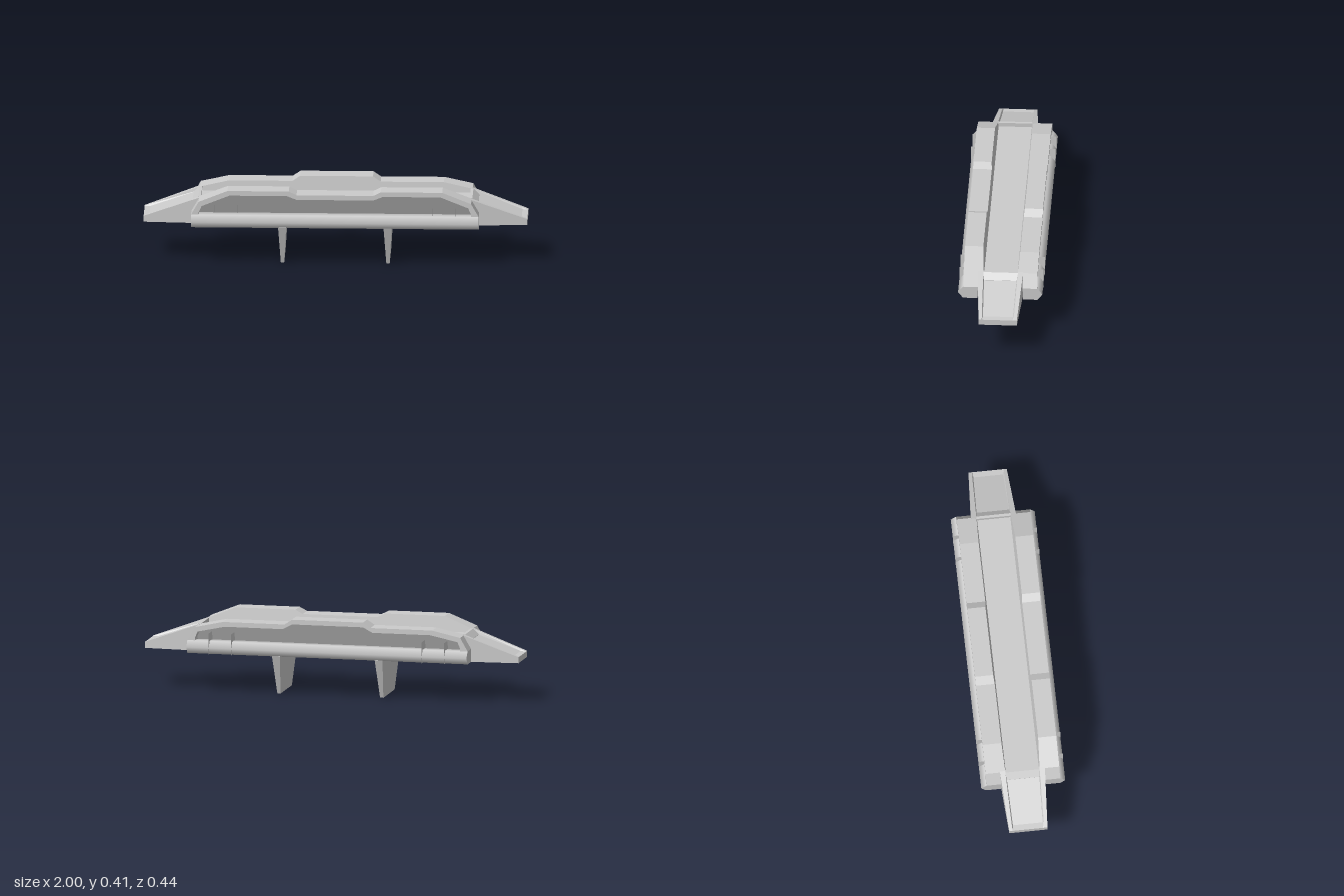
import * as THREE from 'three';

const material = new THREE.MeshStandardMaterial({ color: 0xcccccc, flatShading: true });
const smooth = new THREE.MeshStandardMaterial({ color: 0xcccccc });
const thin = new THREE.MeshStandardMaterial({ color: 0xcccccc, side: THREE.DoubleSide });

function add(parent, name, geometry, mat = material) {
  const mesh = new THREE.Mesh(geometry, mat);
  mesh.name = name;
  parent.add(mesh);
  return mesh;
}

// Closed outline from its right half, mirrored in x
function mirrored(half) {
  const all = [...half, ...half.map(([x, y]) => [-x, y]).reverse()];
  return all.map(([x, y]) => new THREE.Vector2(x, y));
}

// Skin equal-length closed sections along x, with end caps
function loft(sections) {
  const n = sections[0].length;
  const index = [];
  for (let s = 0; s < sections.length - 1; s++) {
    for (let i = 0; i < n; i++) {
      const a = s * n + i, b = s * n + (i + 1) % n;
      index.push(a, a + n, b, b, a + n, b + n);
    }
  }
  const flat = sections[0].map(([, y, z]) => new THREE.Vector2(-z, y));
  const last = (sections.length - 1) * n;
  for (const [a, b, c] of THREE.ShapeUtils.triangulateShape(flat, [])) {
    index.push(a, c, b, last + a, last + b, last + c);
  }
  const g = new THREE.BufferGeometry();
  g.setAttribute('position', new THREE.Float32BufferAttribute(sections.flat(2), 3));
  g.setIndex(index);
  const out = g.toNonIndexed();
  out.computeVertexNormals();
  return out;
}

// One long side: leaning wall, open frame, tube and clips
function side(outer, middle, step) {
  const group = new THREE.Group();
  const outline = mirrored([
    [0.75, 0.207], [0.75, 0.275], [0.71, 0.345], [0.56, outer], [step + 0.04, outer], [step, middle],
  ]);
  const t = 0.025;
  const opening = mirrored([
    [0.71, 0.25], [0.71, 0.288], [0.695, 0.322], [0.55, outer - t], [step + 0.05, outer - t], [step, middle - t],
  ]);

  // The wall leans outward on both faces, more on the outside
  const wall = new THREE.ExtrudeGeometry(new THREE.Shape(outline), { depth: 0.125, bevelEnabled: false });
  const p = wall.attributes.position;
  for (let i = 0; i < p.count; i++) {
    const y = p.getY(i);
    p.setZ(i, p.getZ(i) < 0.01 ? 0.075 + (y - 0.24) * 0.14 : 0.115 + (y - 0.25) * 0.48);
  }
  wall.computeVertexNormals();
  add(group, 'innerWall', wall);

  const shape = new THREE.Shape(outline);
  shape.holes.push(new THREE.Path(opening));
  const frame = new THREE.ExtrudeGeometry(shape, { depth: 0.075, bevelEnabled: false });
  add(group, 'railFrame', frame).position.z = 0.118;

  // Six-sided tube with a corner pointing outward
  const tube = new THREE.CylinderGeometry(0.05, 0.05, 1.5, 6).rotateZ(Math.PI / 2).scale(1, 0.78, 1);
  add(group, 'sideTube', tube, smooth).position.set(0, 0.241, 0.17);

  for (const x of [-0.63, -0.51, 0.51, 0.63]) {
    const clip = add(group, 'clip', new THREE.PlaneGeometry(0.1, 0.111).rotateY(Math.PI / 2), thin);
    clip.position.set(x, 0.2625, 0.17);
  }
  return group;
}

// Ramp section: x, outer half width, top, inner half width, floor half width, floor height
function rampSection([x, o, top, i, f, floor]) {
  const half = [[o, 0.207], [o, top], [i, top], [f, floor]];
  const all = [...half, ...half.map(([z, y]) => [-z, y]).reverse()];
  return all.map(([z, y]) => [x, y, z]);
}

export function createModel() {
  const model = new THREE.Group();
  model.name = 'model';

  const deck = add(model, 'deck', new THREE.BoxGeometry(1.42, 0.118, 0.2));
  deck.position.y = 0.266;

  // The front rail dips in the middle, the back rail rises
  const front = side(0.405, 0.385, 0.2);
  front.name = 'frontRail';
  const back = side(0.378, 0.405, 0.19);
  back.name = 'backRail';
  back.rotation.y = Math.PI;
  model.add(front, back);

  // Ramps and bevelled cross bars at both ends
  const barProfile = [[0.7, 0.21], [0.745, 0.21], [0.745, 0.318], [0.714, 0.347], [0.7, 0.347]];
  const barShape = new THREE.Shape(barProfile.map(([x, y]) => new THREE.Vector2(x, y)));
  for (const s of [1, -1]) {
    const end = new THREE.Group();
    end.name = s > 0 ? 'leftRamp' : 'rightRamp';
    end.rotation.y = s > 0 ? 0 : Math.PI;
    add(end, 'ramp', loft([
      [0.705, 0.118, 0.347, 0.09, 0.086, 0.33],
      [0.97, 0.102, 0.25, 0.084, 0.078, 0.24],
      [1.0, 0.1, 0.239, 0.083, 0.077, 0.238],
    ].map(rampSection)));
    const bar = new THREE.ExtrudeGeometry(barShape, { depth: 0.18, bevelEnabled: false });
    add(end, 'crossBar', bar).position.z = -0.09;
    model.add(end);
  }

  // Tapered plate feet
  for (const x of [-0.275, 0.275]) {
    const foot = new THREE.BoxGeometry(0.042, 0.21, 0.4);
    const p = foot.attributes.position;
    for (let i = 0; i < p.count; i++) {
      if (p.getY(i) < 0) p.setXYZ(i, p.getX(i) * 0.42, p.getY(i), p.getZ(i) * 0.64);
    }
    foot.computeVertexNormals();
    add(model, 'foot', foot).position.set(x, 0.105, 0);
  }
  return model;
}
